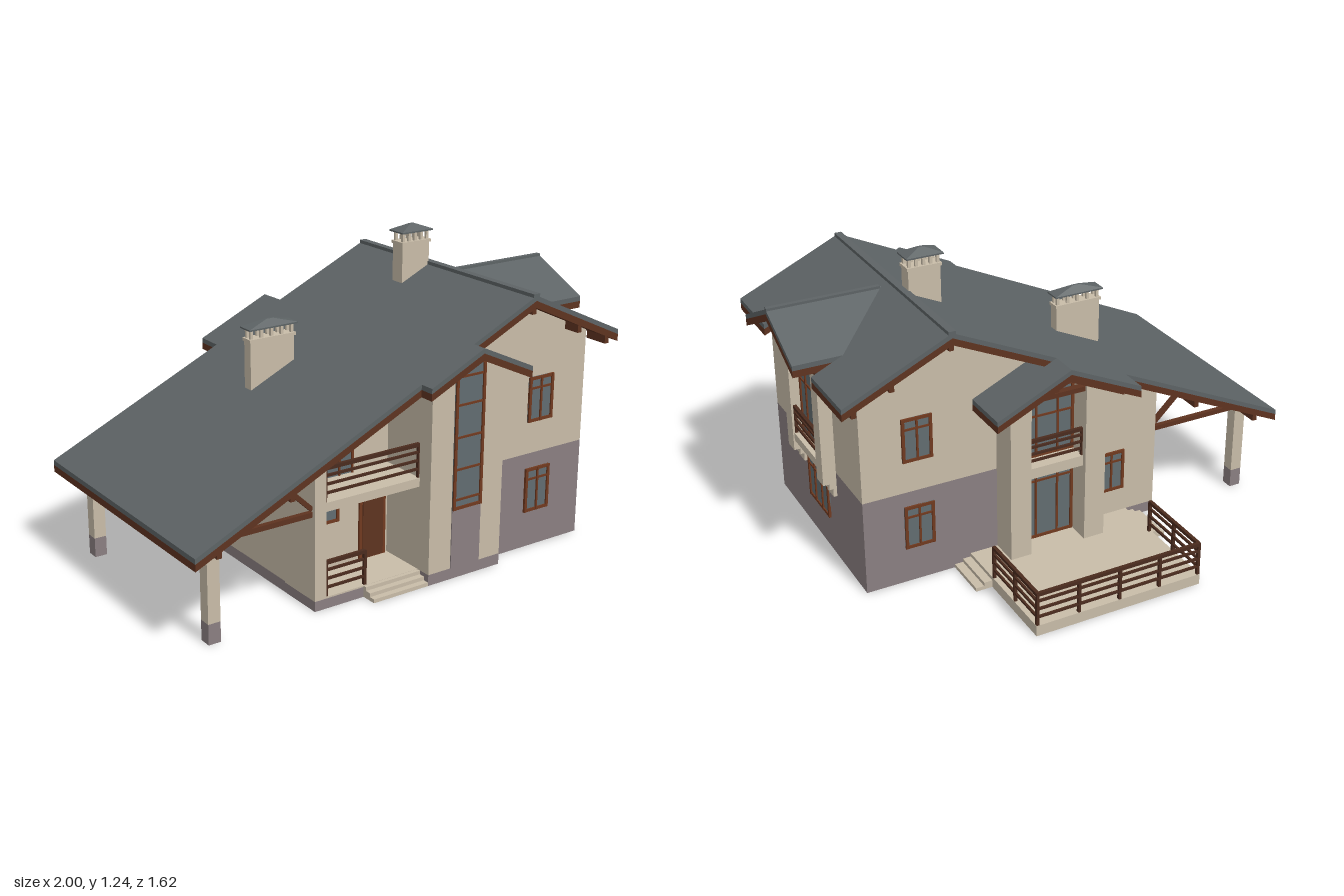
import * as THREE from 'three';

const mat = (name, color, side = THREE.FrontSide) => {
  const m = new THREE.MeshStandardMaterial({ color, side });
  m.name = name;
  return m;
};

export function createModel() {
  const house = new THREE.Group();
  house.name = 'house';
  const plaster = mat('beige plaster', 0xc8bca8, THREE.DoubleSide);
  const stone = mat('mauve stone', 0x8a7f81, THREE.DoubleSide);
  const tile = mat('grey roof', 0x5d6365);
  const timber = mat('brown timber', 0x5e3320);
  const frame = mat('red brown frame', 0x70391f);
  const glass = mat('blue grey glass', 0x616c70);
  const railing = mat('dark railing', 0x4a2b1e);

  const add = (name, geo, material, parent = house) => {
    const m = new THREE.Mesh(geo, material);
    m.name = name;
    parent.add(m);
    return m;
  };
  // Box given by its limits
  const box = (name, x0, x1, y0, y1, z0, z1, material, parent) =>
    add(name, new THREE.BoxGeometry(x1 - x0, y1 - y0, z1 - z0)
      .translate((x0 + x1) / 2, (y0 + y1) / 2, (z0 + z1) / 2), material, parent);
  // Box whose top follows a roof height rule
  const pier = (name, x0, x1, y0, top, z0, z1, material) => {
    const m = box(name, x0, x1, y0, y0 + 0.1, z0, z1, material);
    const p = m.geometry.attributes.position;
    for (let i = 0; i < p.count; i++) if (p.getY(i) > y0 + 0.05) p.setY(i, top(p.getX(i), p.getZ(i)));
    m.geometry.computeVertexNormals();
  };
  // Square bar between two points
  const bar = (name, a, b, t, material, parent) => {
    const A = new THREE.Vector3(...a), B = new THREE.Vector3(...b);
    const m = add(name, new THREE.BoxGeometry(t, t, A.distanceTo(B)), material, parent);
    m.position.copy(A).add(B).multiplyScalar(0.5);
    m.lookAt(B);
  };
  // Upright sheets along a plan path
  const walls = (name, path, low, top, material) => {
    const v = [];
    for (let i = 0; i < path.length - 1; i++) {
      const [ax, az] = path[i], [bx, bz] = path[i + 1];
      const ta = top(ax, az), tb = top(bx, bz);
      v.push(ax, low, az, bx, tb, bz, bx, low, bz, ax, low, az, ax, ta, az, bx, tb, bz);
    }
    const g = new THREE.BufferGeometry();
    g.setAttribute('position', new THREE.Float32BufferAttribute(v, 3));
    g.computeVertexNormals();
    add(name, g, material);
  };
  // Sloped roof plane: a plan outline lifted by a height rule
  const slab = (name, plan, top) => {
    const shape = new THREE.Shape(plan.map(([x, z]) => new THREE.Vector2(x, -z)));
    [[tile, 0, 0.02], [timber, 0.02, 0.028]].forEach(([material, drop, thick]) => {
      const g = new THREE.ExtrudeGeometry(shape, { depth: thick, bevelEnabled: false }).rotateX(-Math.PI / 2);
      const p = g.attributes.position;
      for (let i = 0; i < p.count; i++) p.setY(i, p.getY(i) - thick - drop + top(p.getX(i), p.getZ(i)));
      g.computeVertexNormals();
      add(name + (drop ? 'Soffit' : 'Tiles'), g, material);
    });
  };

  // Roof heights
  const main = (x) => 1.07 - 0.46 * Math.abs(x - 0.49);
  const bay = (x) => 0.932 - 0.46 * Math.abs(x - 0.19);
  const rear = (x) => 0.872 - 0.46 * Math.abs(x - 0.06);
  const dormer = (x, z) => 1.0516 - 0.479 * Math.abs(z - 0.2);
  const under = (f) => (x, z) => f(x, z) - 0.035;

  // Roof planes
  slab('longRoof', [[-1, -0.355], [-0.25, -0.355], [-0.25, -0.47], [0.06, -0.47], [0.06, -0.355], [0.49, -0.355],
    [0.49, 0.75], [0.19, 0.75], [0.19, 0.81], [-0.05, 0.81], [-0.05, 0.75], [-1, 0.75]], main);
  slab('shortRoof', [[0.49, -0.355], [0.93, -0.355], [0.93, -0.06], [0.8, -0.06], [0.53, 0.2], [0.8, 0.46],
    [0.93, 0.46], [0.93, 0.75], [0.49, 0.75]], main);
  for (const s of [-1, 1])
    slab('dormerRoof', [[0.53, 0.2], [1, 0.2], [1, 0.2 + 0.26 * s], [0.8, 0.2 + 0.26 * s]], dormer);
  slab('bayRoof', [[0.19, 0.66], [0.43, 0.66], [0.43, 0.81], [0.19, 0.81]], bay);
  slab('rearRoof', [[0.06, -0.47], [0.37, -0.47], [0.37, -0.25], [0.06, -0.25]], rear);
  box('ridgeCap', 0.475, 0.505, 1.058, 1.077, -0.355, 0.75, tile);
  box('dormerRidgeCap', 0.54, 1, 1.04, 1.057, 0.19, 0.21, tile);
  // Purlin ends under the verges
  for (const x of [-0.9, -0.6, 0.49, 0.73, 0.88])
    for (const [z0, z1] of [[0.64, 0.74], [-0.345, -0.25]])
      box('purlin', x - 0.01, x + 0.01, main(x) - 0.075, main(x) - 0.04, z0, z1, timber);

  // Outer walls, with stone lower storey on the tall block
  const sideTop = (x, z) => under(x > 0.83 ? (a, b) => Math.max(main(a), Math.abs(b - 0.2) < 0.25 ? dormer(a, b) : 0) : main)(x, z);
  walls('upperWalls', [[0.27, -0.26], [0.49, -0.26], [0.835, -0.26], [0.835, -0.04], [0.835, 0.2], [0.835, 0.44],
    [0.835, 0.67], [0.49, 0.67], [0.365, 0.67]], 0.4, sideTop, plaster);
  walls('lowerWalls', [[0.27, -0.26], [0.835, -0.26], [0.835, 0.67], [0.365, 0.67]], 0.045, () => 0.4, stone);
  walls('innerFrontWall', [[0.365, 0.67], [0.015, 0.67]], 0.75, under(main), plaster);
  walls('lowBlockWalls', [[0.015, 0.67], [0.015, 0.47], [-0.46, 0.47], [-0.46, -0.26], [0.27, -0.26]],
    0.045, under(main), plaster);
  walls('stairBay', [[0.365, 0.67], [0.365, 0.735], [0.19, 0.735], [0.015, 0.735], [0.015, 0.67]],
    0.045, under(bay), plaster);
  box('stairBayPanel', 0.12, 0.26, 0.045, 0.285, 0.733, 0.739, stone);
  pier('porchSideWall', -0.46, -0.41, 0.045, under(main), 0.47, 0.67, plaster);

  // Plinth strips under the walls, house left open below
  const plinth = (x0, x1, z0, z1) => box('plinth', x0, x1, 0, 0.045, z0, z1, stone);
  plinth(-0.46, 0.835, -0.26, -0.23);
  plinth(0.805, 0.835, -0.23, 0.67);
  plinth(0.365, 0.805, 0.64, 0.67);
  plinth(0.015, 0.365, 0.705, 0.735);
  plinth(0.335, 0.365, 0.64, 0.705);
  plinth(0.015, 0.045, 0.47, 0.705);
  plinth(-0.46, -0.43, -0.23, 0.47);

  // Window facing +z about its own centre
  const windowUnit = (name, x, y, z, turn, w, h, cols, rows) => {
    const g = new THREE.Group();
    g.name = name;
    box('pane', -w / 2, w / 2, -h / 2, h / 2, -0.004, 0.004, glass, g);
    const upright = (u, t) => box('upright', u - t, u + t, -h / 2, h / 2, -0.01, 0.01, frame, g);
    const rail = (v, t) => box('crossbar', -w / 2, w / 2, v - t, v + t, -0.009, 0.009, frame, g);
    for (const s of [-1, 1]) { upright(s * (w / 2 - 0.006), 0.006); rail(s * (h / 2 - 0.006), 0.006); }
    cols.forEach((u) => upright(u * w, 0.004));
    rows.forEach((v) => rail(v * h, 0.004));
    g.position.set(x, y, z);
    g.rotation.y = turn;
    house.add(g);
  };
  for (const [z, turn] of [[0.67, 0], [-0.26, Math.PI]])
    for (const y of [0.245, 0.625]) windowUnit('blockWindow', 0.605, y, z, turn, 0.125, 0.185, [0], [0.25]);
  windowUnit('stairWindow', 0.19, 0.575, 0.735, 0, 0.14, 0.58, [], [-0.43, -0.22, 0, 0.22, 0.41]);
  windowUnit('porchWindow', -0.28, 0.278, 0.47, 0, 0.125, 0.09, [], []);
  windowUnit('rearSmallWindow', -0.25, 0.245, -0.26, Math.PI, 0.12, 0.18, [0], [0.25]);
  windowUnit('sideLowerWindow', 0.835, 0.245, 0.197, Math.PI / 2, 0.215, 0.19, [-0.17, 0.17], [0.3]);
  windowUnit('sideTallWindow', 0.84, 0.665, 0.197, Math.PI / 2, 0.255, 0.46, [-0.22, 0.22], [0.03, 0.22]);
  windowUnit('terraceDoor', 0.06, 0.21, -0.275, Math.PI, 0.24, 0.33, [-0.2, 0.2], [0.3]);
  windowUnit('rearTallWindow', 0.06, 0.57, -0.275, Math.PI, 0.24, 0.3, [-0.2, 0.2], [0.1, 0.35]);

  // Glazed gable tops
  const plate = (name, pts, x, y, z, turn) => {
    const m = add(name, new THREE.ExtrudeGeometry(new THREE.Shape(pts.map((p) => new THREE.Vector2(...p))),
      { depth: 0.008, bevelEnabled: false }), glass);
    m.position.set(x, y, z);
    m.rotation.y = turn;
  };
  plate('sideGableGlass', [[-0.127, 0], [0.127, 0], [0.127, 0.05], [0, 0.11], [-0.127, 0.05]], 0.836, 0.89, 0.2, Math.PI / 2);
  plate('rearGableGlass', [[-0.12, 0], [0.12, 0], [0.12, 0.05], [0, 0.105], [-0.12, 0.05]], 0.06, 0.715, -0.27, Math.PI);
  plate('balconyGlass', [[-0.35, 0.42], [-0.16, 0.42], [-0.16, 0.71], [-0.35, 0.63]], 0, 0, 0.47, 0);
  for (const x of [-0.35, -0.285, -0.22, -0.16])
    box('balconyMullion', x - 0.004, x + 0.004, 0.42, main(x) - 0.06, 0.465, 0.484, frame);
  box('balconyTransom', -0.35, -0.16, 0.606, 0.614, 0.465, 0.483, frame);

  // Front door
  box('doorFrame', -0.122, 0.002, 0.045, 0.325, 0.461, 0.479, frame);
  box('door', -0.108, -0.012, 0.05, 0.312, 0.458, 0.483, timber);

  // Gable trusses above the tall windows
  for (const s of [-1, 1]) {
    bar('sideStrut', [0.88, 0.91, 0.2 + s * 0.05], [0.88, 0.96, 0.2 + s * 0.09], 0.012, timber);
    bar('sideChord', [0.9, 0.868, 0.2 + s * 0.25], [0.9, 0.99, 0.2], 0.022, timber);
    bar('rearChord', [0.06 + s * 0.28, 0.68, -0.39], [0.06, 0.81, -0.39], 0.022, timber);
  }
  box('sideTie', 0.85, 0.885, 0.895, 0.915, 0.07, 0.325, timber);
  box('sideKingPost', 0.873, 0.887, 0.91, 1, 0.192, 0.208, timber);
  box('rearTie', -0.06, 0.18, 0.71, 0.73, -0.37, -0.34, timber);
  box('rearKingPost', 0.052, 0.068, 0.73, 0.82, -0.365, -0.35, timber);

  // Side bay piers on stepped corbels, with sill
  for (const [z0, z1] of [[0.005, 0.07], [0.325, 0.39]]) {
    pier('sidePier', 0.835, 0.89, 0.355, under(dormer), z0, z1, plaster);
    box('corbelUpper', 0.835, 0.865, 0.33, 0.355, z0, z1, plaster);
    box('corbelLower', 0.835, 0.85, 0.295, 0.33, z0, z1, plaster);
  }
  box('sideSill', 0.835, 0.885, 0.4, 0.435, 0.07, 0.325, plaster);

  // Rear pavilion piers and balcony slab
  for (const [x0, x1] of [[0.18, 0.27], [-0.15, -0.06]])
    pier('rearPier', x0, x1, 0, under(rear), -0.38, -0.26, plaster);
  box('rearBalconySlab', -0.06, 0.18, 0.375, 0.42, -0.36, -0.26, plaster);

  // Railing: posts with four rails
  const fence = (name, x0, z0, x1, z1, y, h, posts) => {
    const g = new THREE.Group();
    g.name = name;
    house.add(g);
    for (let i = 0; i < posts; i++) {
      const t = i / (posts - 1), x = x0 + (x1 - x0) * t, z = z0 + (z1 - z0) * t;
      box('post', x - 0.006, x + 0.006, y, y + h, z - 0.006, z + 0.006, railing, g);
    }
    [0.25, 0.5, 0.75, 0.97].forEach((k, i) =>
      bar('rail', [x0, y + h * k, z0], [x1, y + h * k, z1], i === 3 ? 0.014 : 0.009, railing, g));
  };
  fence('terraceFenceLeft', 0.383, -0.455, 0.383, -0.803, 0.045, 0.14, 3);
  fence('terraceFenceRight', -0.323, -0.455, -0.323, -0.803, 0.045, 0.14, 3);
  fence('terraceFenceBack', -0.323, -0.803, 0.383, -0.803, 0.045, 0.14, 5);
  fence('balconyFence', -0.41, 0.66, 0.015, 0.66, 0.42, 0.135, 2);
  fence('porchFence', -0.405, 0.66, -0.23, 0.66, 0.045, 0.14, 2);
  fence('sideFence', 0.875, 0.07, 0.875, 0.325, 0.435, 0.12, 2);
  fence('rearFence', -0.06, -0.35, 0.18, -0.35, 0.42, 0.12, 2);

  // Porch, balcony, terrace and steps
  box('porchBase', -0.46, 0.015, 0, 0.04, 0.47, 0.67, stone);
  box('porchFloor', -0.46, 0.015, 0.04, 0.046, 0.47, 0.669, plaster);
  box('frontBalcony', -0.41, 0.015, 0.385, 0.42, 0.47, 0.67, plaster);
  box('terrace', -0.33, 0.39, 0, 0.045, -0.81, -0.26, plaster);
  for (let i = 0; i < 3; i++) {
    const y = 0.015 * (i + 1);
    box('frontStep', -0.24, 0.014, 0, y, 0.66, 0.735 - 0.025 * i, plaster);
    if (i < 2) box('sideStep', -0.4 + 0.035 * i, 0.46 - 0.035 * i, 0, y, -0.45, -0.261, plaster);
  }

  // Carport posts, ties and braces
  for (const z of [-0.235, 0.645]) {
    box('carportPostFoot', -0.91, -0.86, 0, 0.08, z - 0.025, z + 0.025, stone);
    pier('carportPost', -0.91, -0.86, 0.08, under(main), z - 0.025, z + 0.025, plaster);
    box('carportTie', -0.86, -0.46, 0.37, 0.39, z - 0.01, z + 0.01, timber);
    bar('carportBrace', [-0.46, 0.4, z], [-0.6, 0.535, z], 0.018, timber);
  }

  // Chimneys with vented heads and hipped caps
  const chimney = (x0, x1, z0, z1, y0, y1) => {
    box('chimneyStack', x0, x1, y0, y1, z0, z1, plaster);
    box('chimneyBand', x0 - 0.005, x1 + 0.005, y1 - 0.012, y1, z0 - 0.005, z1 + 0.005, plaster);
    for (let i = 0; i < 5; i++) {
      const x = x0 + 0.008 + (x1 - x0 - 0.016) * i / 4;
      for (const z of [z0 + 0.008, z1 - 0.008])
        box('chimneyVentPost', x - 0.006, x + 0.006, y1, y1 + 0.04, z - 0.006, z + 0.006, plaster);
    }
    const cap = box('chimneyCap', x0 - 0.01, x1 + 0.01, y1 + 0.036, y1 + 0.042, z0 - 0.012, z1 + 0.012, tile);
    const hip = add('chimneyCapHip', new THREE.CylinderGeometry(0.1, Math.SQRT1_2, 1, 4, 1).rotateY(Math.PI / 4).toNonIndexed(), tile);
    hip.geometry.computeVertexNormals();
    hip.scale.set(x1 - x0 + 0.02, 0.024, z1 - z0 + 0.024);
    hip.position.set((x0 + x1) / 2, y1 + 0.054, (z0 + z1) / 2);
    return cap;
  };
  chimney(-0.365, -0.165, 0.05, 0.095, 0.62, 0.88);
  chimney(0.345, 0.48, 0.05, 0.113, 0.96, 1.17);

  return house;
}
